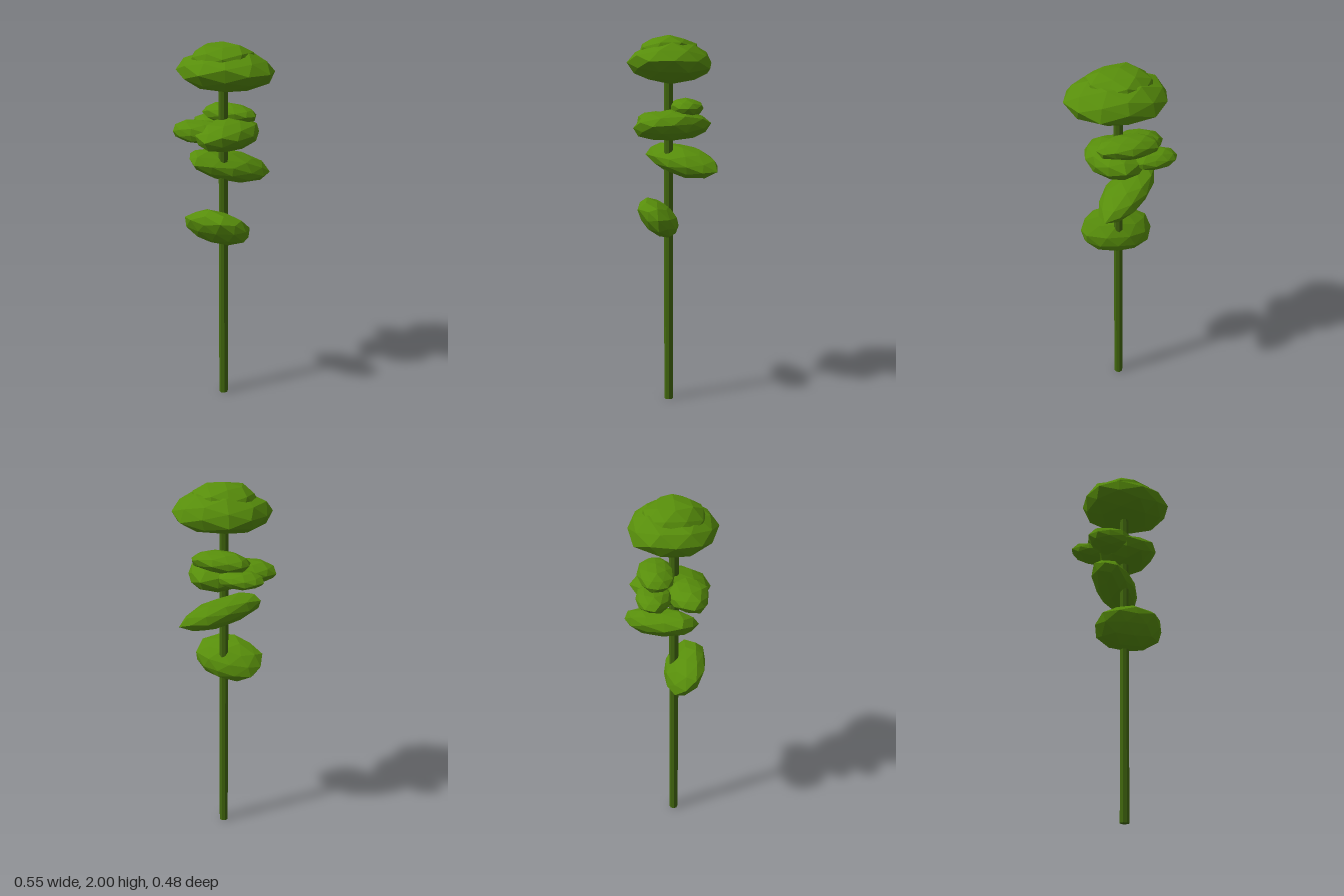
import * as THREE from 'three';

const leafGreen = new THREE.MeshStandardMaterial({ color: 0x578d0b, flatShading: true });
const trunkGreen = new THREE.MeshStandardMaterial({ color: 0x42680e, flatShading: true });

// Repeatable bumpiness, equal for all corners that share a direction
function bump(v, seed) {
  const s = Math.sin(Math.round(v.x * 50) * 1.7 + Math.round(v.y * 50) * 2.9 + Math.round(v.z * 50) * 4.3 + seed) * 437.58;
  return 0.94 + 0.12 * (s - Math.floor(s));
}

// Bumpy faceted ellipsoid; tilt is applied z, then x, then y
function lobe(name, center, halfSize, tilt, seed) {
  const geometry = new THREE.IcosahedronGeometry(1, 1);
  const position = geometry.attributes.position;
  const v = new THREE.Vector3();
  for (let i = 0; i < position.count; i++) {
    v.fromBufferAttribute(position, i);
    const k = bump(v, seed);
    position.setXYZ(i, v.x * halfSize[0] * k, v.y * halfSize[1] * k, v.z * halfSize[2] * k);
  }
  geometry.computeVertexNormals();
  const mesh = new THREE.Mesh(geometry, leafGreen);
  mesh.name = name;
  mesh.position.set(...center);
  mesh.rotation.set(...tilt, 'YXZ');
  return mesh;
}

export function createModel() {
  const tree = new THREE.Group();
  tree.name = 'tree';

  // Straight eight-sided trunk
  const trunk = new THREE.Mesh(new THREE.CylinderGeometry(0.025, 0.025, 1.82, 8), trunkGreen);
  trunk.name = 'trunk';
  trunk.position.set(0, 0.91, 0.018);
  tree.add(trunk);

  // Crown: wide lens with a rounded dome rising out of it
  tree.add(lobe('crownBase', [0.006, 1.858, 0.008], [0.256, 0.107, 0.228], [0, 0, 0], 1));
  tree.add(lobe('crownDome', [-0.005, 1.9, 0.015], [0.18, 0.101, 0.165], [0, 0, 0], 2));

  // Upper clump: main body, two side lobes and a raised knob at the back
  tree.add(lobe('upperClump', [0.02, 1.53, 0.003], [0.157, 0.082, 0.203], [0.06, 0, 0.05], 3));
  tree.add(lobe('upperFrontLobe', [-0.1, 1.54, 0.08], [0.16, 0.062, 0.108], [0, 0.1, 0], 4));
  tree.add(lobe('upperBackLobe', [-0.14, 1.55, -0.095], [0.13, 0.048, 0.09], [0, 0, 0], 5));
  tree.add(lobe('upperKnob', [-0.025, 1.62, -0.075], [0.165, 0.056, 0.092], [0, 0, 0], 6));

  // Middle clump: a long slab running diagonally, low towards its left end
  tree.add(lobe('middleClump', [-0.02, 1.343, -0.056], [0.226, 0.073, 0.126], [0.24, Math.PI / 4, -0.22], 7));

  // Lower clump: leans up and out to the front of the trunk
  tree.add(lobe('lowerClump', [0.004, 1.032, 0.076], [0.2, 0.083, 0.135], [-0.72, -0.12, 0.1], 8));

  return tree;
}
